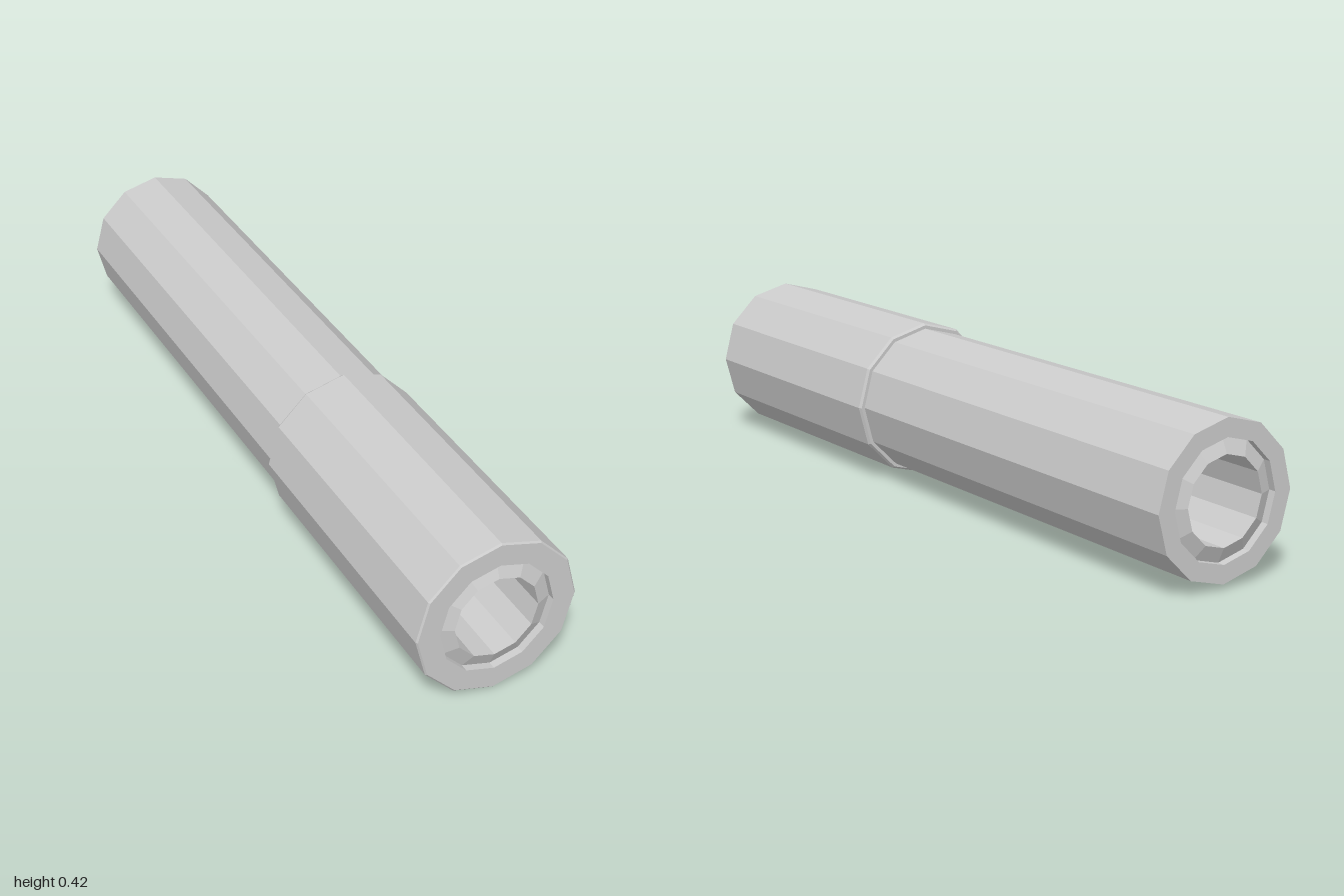
import * as THREE from 'three';

const SIDES = 12;
const AXIS_Y = 0.211;

export function createModel() {
  const model = new THREE.Group();
  const material = new THREE.MeshStandardMaterial({ color: 0xcccccc, flatShading: true });

  // Closed ring turned about the z axis; profile is [radius, z], outer wall running towards +z
  function addRing(name, profile) {
    const points = [...profile, profile[0]].map(([r, z]) => new THREE.Vector2(r, z));
    const geometry = new THREE.LatheGeometry(points, SIDES);
    geometry.rotateX(Math.PI / 2);
    const mesh = new THREE.Mesh(geometry, material);
    mesh.name = name;
    mesh.position.y = AXIS_Y;
    model.add(mesh);
  }

  // Long rear tube
  addRing('rearTube', [
    [0.148, -1], [0.194, -1], [0.194, 0.25], [0.148, 0.25],
  ]);

  // Wider front sleeve with fine bevels at both ends
  addRing('frontSleeve', [
    [0.148, 0.225], [0.203, 0.225], [0.208, 0.232],
    [0.208, 0.996], [0.204, 1], [0.148, 1],
  ]);

  // Inner liner with sloping ends that leave a shallow groove inside each rim
  addRing('innerLiner', [
    [0.109, -0.998], [0.148, -0.98], [0.148, 0.98], [0.109, 0.998],
  ]);

  return model;
}
